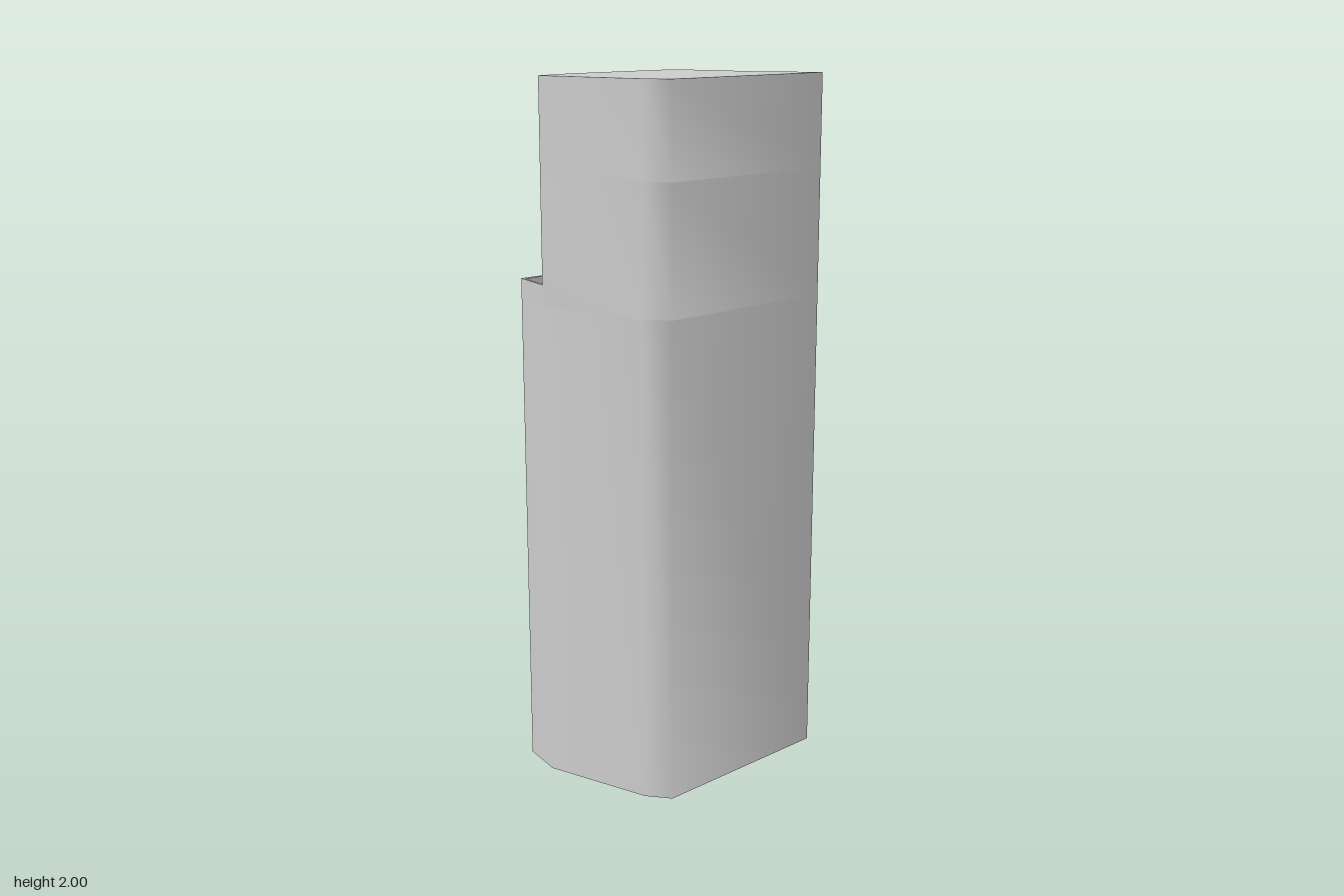
import * as THREE from 'three';
import { toCreasedNormals } from 'three/addons/utils/BufferGeometryUtils.js';

const material = new THREE.MeshStandardMaterial({ color: 0xcccccc });

// Corners shared by all tiers: the flush street sides, as [x, z].
const street = [[0.252, -0.337], [0.252, 0.229], [0.187, 0.276], [-0.128, 0.359]];

// Stepped corners of each tier, running from the front left round to the back.
const baseSteps = [[-0.253, 0.334], [-0.253, -0.219], [-0.192, -0.266], [0.125, -0.361]];
const middleSteps = [[-0.215, 0.285], [-0.215, -0.187], [-0.162, -0.228], [0.105, -0.306]];
const upperSteps = [[-0.158, 0.224], [-0.158, -0.141], [-0.118, -0.172], [0.087, -0.233]];

// Inner line of the parapet around the lowest terrace.
const rimInner = [[0.236, -0.335], [0.124, -0.357], [-0.19, -0.262],
  [-0.247, -0.215], [-0.239, 0.33], [-0.138, 0.349]];

// Upright prism over a plan outline, with soft shallow corners and sharp steep ones.
function prism(name, plan, bottom, top) {
  const shape = new THREE.Shape(plan.map(([x, z]) => new THREE.Vector2(x, -z)));
  const geometry = new THREE.ExtrudeGeometry(shape, { depth: top - bottom, bevelEnabled: false });
  geometry.rotateX(-Math.PI / 2).translate(0, bottom, 0);
  const mesh = new THREE.Mesh(toCreasedNormals(geometry, 1.0), material);
  mesh.name = name;
  return mesh;
}

export function createModel() {
  const tower = new THREE.Group();
  tower.name = 'steppedTower';

  const terrace = 1.38;
  tower.add(
    prism('lowerTier', [...street, ...baseSteps], 0, terrace),
    prism('middleTier', [...street, ...middleSteps], terrace, 1.74),
    prism('upperTier', [...street, ...upperSteps], 1.74, 2),
    // Thin parapet wall on the stepped sides only
    prism('terraceParapet', [street[3], ...baseSteps, street[0], ...rimInner], terrace, 1.442),
  );
  return tower;
}
